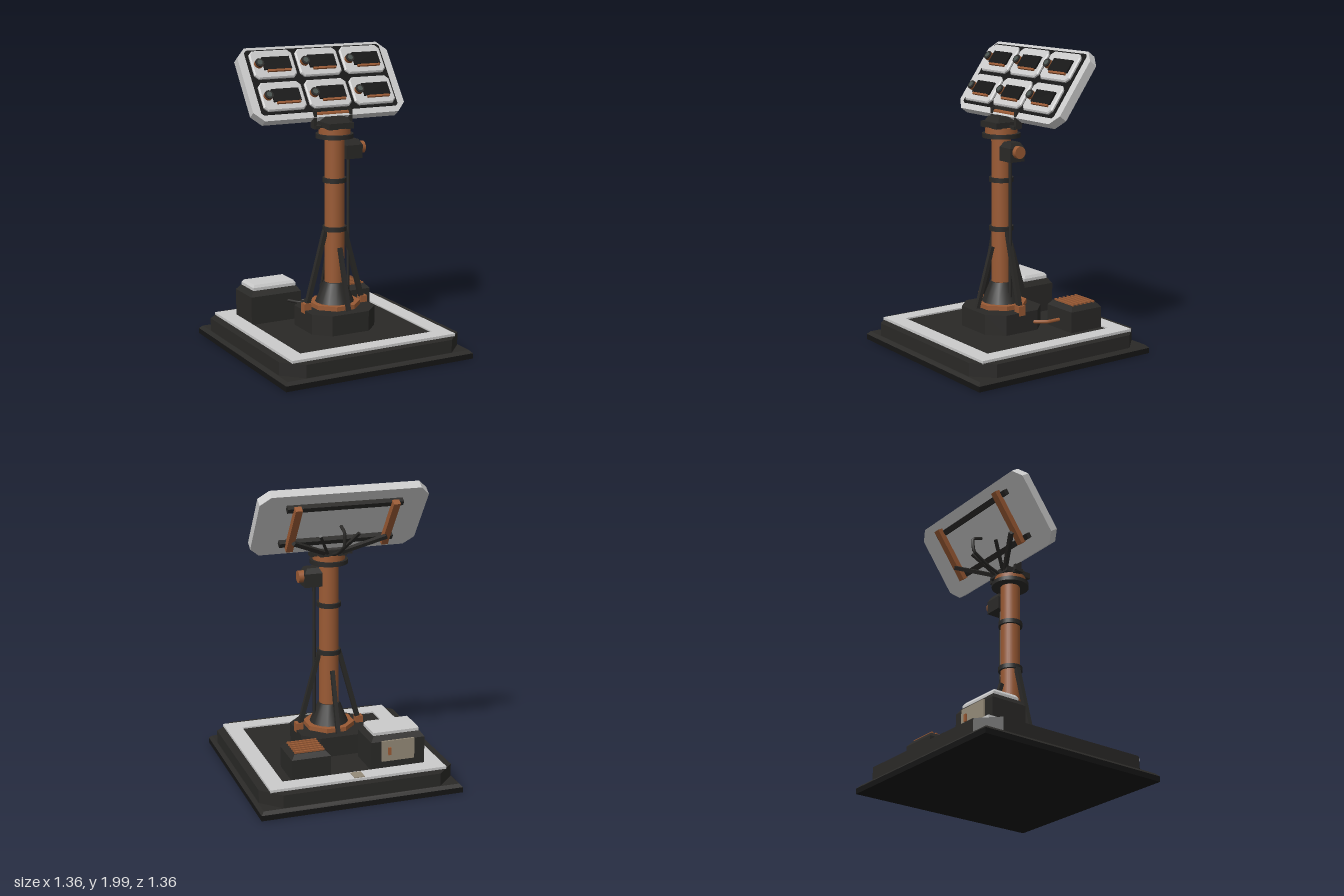
import * as THREE from 'three';

const mat = (color, flatShading = false) => new THREE.MeshStandardMaterial({ color, flatShading });
const DARK = mat(0x2a2927), BLACK = mat(0x151515), ORANGE = mat(0x9a5a34);
const LIGHT = mat(0xcccccc), BEIGE = mat(0x948a78), GLASS = mat(0x4a5450);
const DARK_FLAT = mat(0x2a2927, true), ORANGE_FLAT = mat(0x9a5a34, true);

function add(parent, name, geometry, material, x = 0, y = 0, z = 0) {
  const mesh = new THREE.Mesh(geometry, material);
  mesh.name = name;
  mesh.position.set(x, y, z);
  parent.add(mesh);
  return mesh;
}

const box = (parent, name, w, h, d, material, x, y, z) =>
  add(parent, name, new THREE.BoxGeometry(w, h, d), material, x, y, z);

const cyl = (parent, name, r0, r1, h, material, x, y, z, sides = 32) =>
  add(parent, name, new THREE.CylinderGeometry(r1, r0, h, sides), material, x, y, z);

// Box whose top is pulled in by `inset` on every side
function frustum(parent, name, w, h, d, inset, material, x, y, z) {
  const geometry = new THREE.BoxGeometry(w, h, d);
  const p = geometry.attributes.position;
  for (let i = 0; i < p.count; i++) {
    if (p.getY(i) < 0) continue;
    p.setX(i, p.getX(i) - Math.sign(p.getX(i)) * inset);
    p.setZ(i, p.getZ(i) - Math.sign(p.getZ(i)) * inset);
  }
  geometry.computeVertexNormals();
  return add(parent, name, geometry, material, x, y, z);
}

// Rectangle with cut corners
function cutRect(w, h, c) {
  const x = w / 2, y = h / 2;
  return new THREE.Shape([
    [-x + c, -y], [x - c, -y], [x, -y + c], [x, y - c],
    [x - c, y], [-x + c, y], [-x, y - c], [-x, -y + c],
  ].map(([a, b]) => new THREE.Vector2(a, b)));
}

// Extruded plate from z = 0 to `depth`, with an optional bevel on its front
function plate(w, h, c, depth, bevel = 0) {
  return new THREE.ExtrudeGeometry(cutRect(w - 2 * bevel, h - 2 * bevel, c), {
    depth: depth - 2 * bevel, bevelEnabled: bevel > 0, bevelSize: bevel,
    bevelThickness: bevel, bevelSegments: 1,
  }).translate(0, 0, bevel);
}

const flatPlate = (...args) => plate(...args).rotateX(-Math.PI / 2);

// Square bar between two points
function bar(parent, name, a, b, w, d, material) {
  const from = new THREE.Vector3(...a), to = new THREE.Vector3(...b);
  const mesh = box(parent, name, w, from.distanceTo(to), d, material);
  mesh.position.copy(from).lerp(to, 0.5);
  mesh.quaternion.setFromUnitVectors(new THREE.Vector3(0, 1, 0), to.sub(from).normalize());
  return mesh;
}

function pipe(parent, name, points, r, material) {
  const curve = new THREE.CatmullRomCurve3(points.map((p) => new THREE.Vector3(...p)), false, 'catmullrom', 0.2);
  return add(parent, name, new THREE.TubeGeometry(curve, 20, r, 8), material);
}

function buildBase(g) {
  box(g, 'plinth', 1.36, 0.036, 1.36, BLACK, 0, 0.018, 0);
  frustum(g, 'plinthBevel', 1.36, 0.02, 1.36, 0.02, DARK_FLAT, 0, 0.046, 0);
  add(g, 'baseBody', flatPlate(1.31, 1.31, 0.125, 0.088), DARK, 0, 0.055, 0);
  const rim = cutRect(1.19, 1.19, 0.001);
  rim.holes.push(cutRect(0.97, 0.97, 0.001));
  add(g, 'baseRim', new THREE.ExtrudeGeometry(rim, { depth: 0.02, bevelEnabled: false }).rotateX(-Math.PI / 2),
    LIGHT, 0, 0.14, 0);
  box(g, 'deck', 0.97, 0.01, 0.97, DARK, 0, 0.145, 0);
  box(g, 'rearStep', 0.07, 0.006, 0.085, BEIGE, 0, 0.162, -0.543);
}

function buildCabinets(g) {
  // Tall cabinet with a pale lid and a rear door
  box(g, 'tallCabinet', 0.37, 0.19, 0.25, DARK, -0.3, 0.245, -0.355);
  frustum(g, 'tallCabinetTop', 0.37, 0.035, 0.25, 0.025, DARK_FLAT, -0.3, 0.357, -0.355);
  box(g, 'lidBody', 0.315, 0.02, 0.19, LIGHT, -0.298, 0.384, -0.355);
  frustum(g, 'lidTop', 0.315, 0.018, 0.19, 0.012, LIGHT, -0.298, 0.403, -0.355);
  box(g, 'rearDoor', 0.225, 0.14, 0.012, BEIGE, -0.298, 0.275, -0.485);
  box(g, 'doorHandle', 0.018, 0.05, 0.014, ORANGE, -0.237, 0.275, -0.497);
  // Low cabinet with slats
  box(g, 'lowCabinet', 0.26, 0.14, 0.25, DARK, 0.29, 0.22, -0.355);
  frustum(g, 'lowCabinetTop', 0.26, 0.03, 0.25, 0.025, DARK_FLAT, 0.29, 0.305, -0.355);
  for (let i = 0; i < 6; i++)
    box(g, 'ventSlat', 0.2, 0.014, 0.013, ORANGE, 0.29, 0.325, -0.44 + i * 0.034);
  // Service pipes
  pipe(g, 'servicePipe', [[0.19, 0.213, -0.05], [0.24, 0.213, -0.07], [0.285, 0.213, -0.14], [0.285, 0.213, -0.25]], 0.012, ORANGE);
  pipe(g, 'darkPipe', [[-0.12, 0.27, -0.1], [-0.17, 0.285, -0.15], [-0.22, 0.285, -0.25]], 0.01, DARK);
}

// Everything here is centred on the column axis
function buildMast(g) {
  add(g, 'pedestal', flatPlate(0.47, 0.45, 0.1, 0.135), DARK, 0, 0.155, 0);
  const ring = cyl(g, 'footRing', 0.172, 0.172, 0.03, ORANGE_FLAT, 0, 0.31, 0, 8);
  ring.rotation.y = Math.PI / 8;
  cyl(g, 'columnFoot', 0.13, 0.075, 0.135, DARK, 0, 0.392, 0, 16);
  cyl(g, 'column', 0.065, 0.065, 1.14, ORANGE, 0, 0.88, 0);
  for (const y of [0.82, 1.145]) cyl(g, 'columnBand', 0.08, 0.08, 0.03, DARK, 0, y, 0);
  cyl(g, 'topFlange', 0.125, 0.125, 0.028, DARK, 0, 1.437, 0);
  cyl(g, 'turntable', 0.105, 0.105, 0.04, ORANGE, 0, 1.471, 0);
  // Braces
  for (const s of [-1, 1]) {
    bar(g, 'sideBrace', [s * 0.21, 0.3, 0], [s * 0.07, 0.81, 0], 0.03, 0.03, DARK);
    box(g, 'braceFoot', 0.05, 0.065, 0.05, ORANGE, s * 0.212, 0.302, 0);
    bar(g, 'longBrace', [0, 0.3, s * 0.195], [0, 0.7, s * 0.075], 0.026, 0.026, DARK);
  }
  // Conduit and junction box
  cyl(g, 'conduit', 0.011, 0.011, 1.04, DARK, 0.102, 0.8, 0, 10);
  box(g, 'junctionBox', 0.12, 0.09, 0.11, DARK, 0.12, 1.325, 0);
  frustum(g, 'junctionBoxTop', 0.12, 0.035, 0.11, 0.02, DARK_FLAT, 0.12, 1.387, 0);
  cyl(g, 'junctionCap', 0.04, 0.04, 0.04, ORANGE, 0.193, 1.345, 0, 20).rotation.z = Math.PI / 2;
  // Rotating head
  box(g, 'headBlock', 0.18, 0.04, 0.2, DARK, 0, 1.508, 0);
  frustum(g, 'headTop', 0.16, 0.035, 0.16, 0.02, DARK_FLAT, 0, 1.543, 0);
}

function buildPanel(g) {
  add(g, 'panelFrame', plate(1.11, 0.534, 0.065, 0.06), LIGHT, 0, 0, -0.03);
  add(g, 'panelBed', plate(1.0, 0.47, 0.015, 0.012), BLACK, 0, 0.01, 0.024);
  // Two rows of three emitter modules
  for (const x of [-0.33, 0, 0.33]) for (const y of [-0.107, 0.127]) {
    const m = new THREE.Group();
    m.name = 'emitterModule';
    m.position.set(x, y, 0.034);
    g.add(m);
    add(m, 'moduleHousing', plate(0.305, 0.205, 0.022, 0.026, 0.008), LIGHT);
    box(m, 'moduleWindow', 0.195, 0.09, 0.016, BLACK, 0.02, 0, 0.03);
    box(m, 'moduleStrip', 0.165, 0.014, 0.022, ORANGE, 0.025, -0.054, 0.03);
    cyl(m, 'lensRing', 0.03, 0.03, 0.024, ORANGE, -0.107, 0, 0.034, 16).rotation.x = Math.PI / 2;
    cyl(m, 'lensHood', 0.03, 0.03, 0.008, DARK, -0.107, 0, 0.05, 16).rotation.x = Math.PI / 2;
    cyl(m, 'lensGlass', 0.018, 0.018, 0.006, GLASS, -0.107, 0, 0.054, 16).rotation.x = Math.PI / 2;
  }
  // Rear rails and uprights
  for (const y of [-0.15, 0.17]) box(g, 'rearRail', 0.76, 0.035, 0.035, DARK, 0, y, -0.047);
  for (const s of [-1, 1]) box(g, 'rearUpright', 0.045, 0.38, 0.04, ORANGE, s * 0.32, 0.015, -0.08);
}

function buildMount(g) {
  for (const s of [-1, 1]) {
    box(g, 'yokeLeg', 0.022, 0.115, 0.05, DARK, s * 0.13, 1.545, -0.005);
    box(g, 'yokeArm', 0.06, 0.022, 0.05, DARK, s * 0.11, 1.495, 0.01);
    bar(g, 'supportArm', [s * 0.05, 1.51, -0.05], [s * 0.31, 1.63, -0.2], 0.026, 0.026, DARK);
    bar(g, 'supportStay', [s * 0.04, 1.51, -0.06], [s * 0.13, 1.66, -0.19], 0.018, 0.018, DARK);
  }
  box(g, 'yokeTopBar', 0.27, 0.02, 0.03, DARK, 0, 1.602, -0.01);
  const pivot = cyl(g, 'tiltPivot', 0.018, 0.018, 0.24, ORANGE, 0, 1.575, -0.005, 16);
  pivot.rotation.z = Math.PI / 2;
  pipe(g, 'panelCable', [[0, 1.5, -0.06], [0, 1.53, -0.15], [0, 1.6, -0.27], [0, 1.69, -0.28], [0, 1.72, -0.21]], 0.011, DARK);
}

export function createModel() {
  const model = new THREE.Group();
  model.name = 'floodlightTower';
  const group = (name, build, x = 0, y = 0, z = 0) => {
    const g = new THREE.Group();
    g.name = name;
    g.position.set(x, y, z);
    build(g);
    model.add(g);
    return g;
  };
  group('base', buildBase);
  group('cabinets', buildCabinets);
  group('mast', buildMast, 0, 0, 0.035);
  group('mount', buildMount);
  group('lampPanel', buildPanel, 0, 1.76, -0.158).rotation.x = -0.62;
  return model;
}
